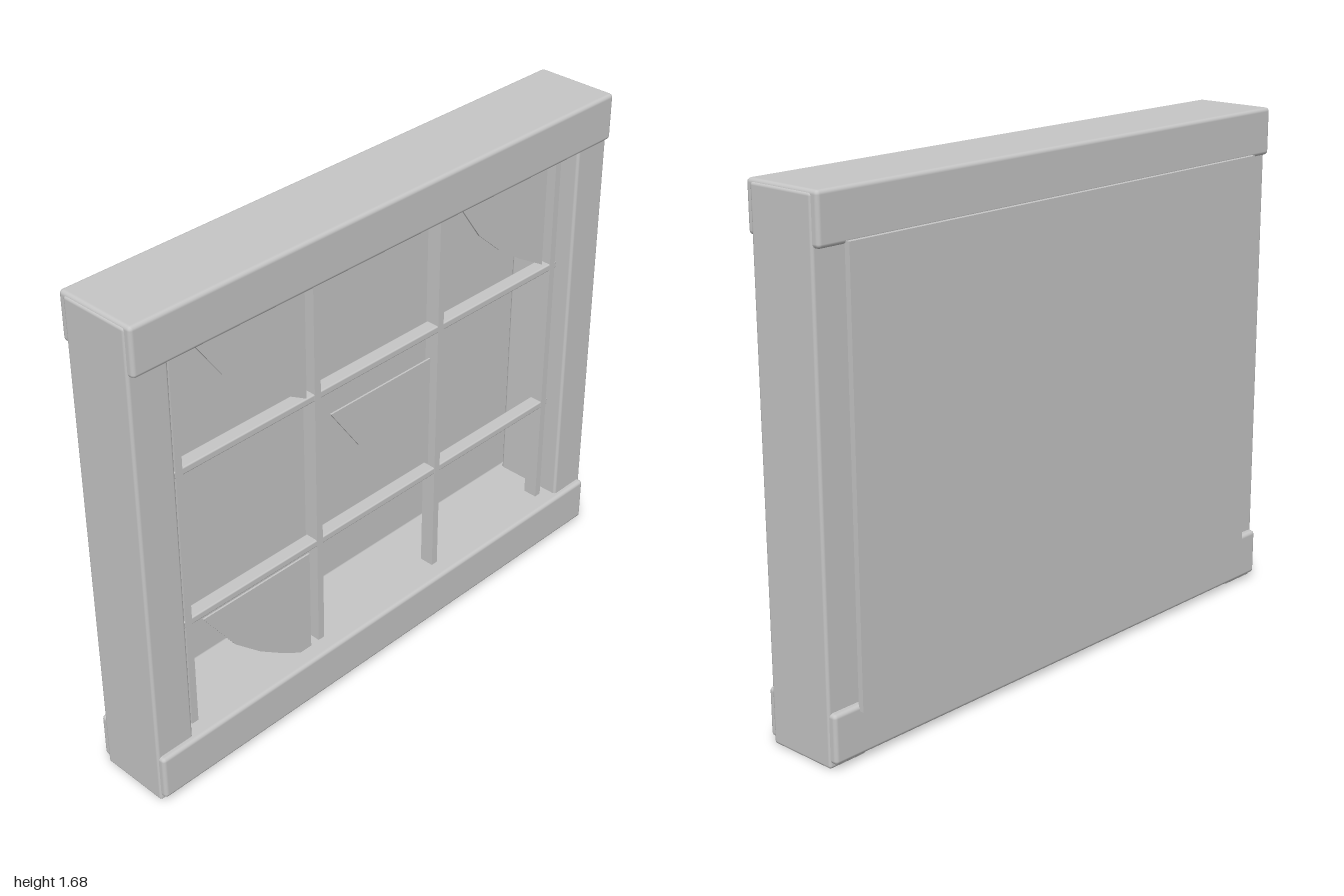
import * as THREE from 'three';
import { RoundedBoxGeometry } from 'three/addons/geometries/RoundedBoxGeometry.js';

export function createModel() {
  const group = new THREE.Group();
  const grey = new THREE.MeshStandardMaterial({ color: 0xc6c6c6 });
  grey.name = 'plain grey';

  const add = (name, geometry) => {
    const mesh = new THREE.Mesh(geometry, grey);
    mesh.name = name;
    group.add(mesh);
    return mesh;
  };
  // box given by its lower and upper limits, with an optional rounded edge
  const block = (name, [x0, x1], [y0, y1], [z0, z1], bevel = 0) => {
    const size = [x1 - x0, y1 - y0, z1 - z0];
    const geometry = bevel ? new RoundedBoxGeometry(...size, 2, bevel) : new THREE.BoxGeometry(...size);
    add(name, geometry).position.set((x0 + x1) / 2, (y0 + y1) / 2, (z0 + z1) / 2);
  };

  // outer frame: two beams and two posts
  block('topBeam', [-0.996, 0.996], [1.525, 1.683], [-0.14, 0.15], 0.013);
  block('bottomBeam', [-0.996, 0.996], [0.02, 0.178], [-0.14, 0.15], 0.013);
  block('rightPost', [-1, -0.86], [0.003, 1.675], [-0.118, 0.13], 0.01);
  block('leftPost', [0.86, 1], [0.003, 1.675], [-0.118, 0.13], 0.01);

  // backing panel
  block('backPanel', [-0.9, 0.9], [0.16, 1.535], [-0.154, -0.135]);

  // lattice bars
  for (const x of [-0.815, -0.272, 0.268, 0.813]) {
    block('verticalBar', [x - 0.0125, x + 0.0125], [0.1, 1.6], [0.04, 0.09]);
  }
  for (const y of [0.568, 1.108]) {
    block('horizontalBar', [-0.838, 0.836], [y - 0.0125, y + 0.0125], [0.041, 0.089], 0.005);
  }

  // thin curved corner pieces, placed by their upper outer corner
  const corner = new THREE.Shape();
  corner.moveTo(0, 0);
  [[-0.44, 0], [-0.32, -0.17], [-0.22, -0.26], [-0.12, -0.33], [0, -0.4]].forEach(p => corner.lineTo(...p));
  corner.closePath();
  const cornerGeometry = new THREE.ExtrudeGeometry(corner, { depth: 0.006, bevelEnabled: false });
  for (const [x, y] of [[-0.32, 1.525], [0.755, 1.54], [0.22, 1.02], [-0.32, 0.55]]) {
    add('cornerPiece', cornerGeometry).position.set(x, y, 0.086);
  }

  return group;
}
